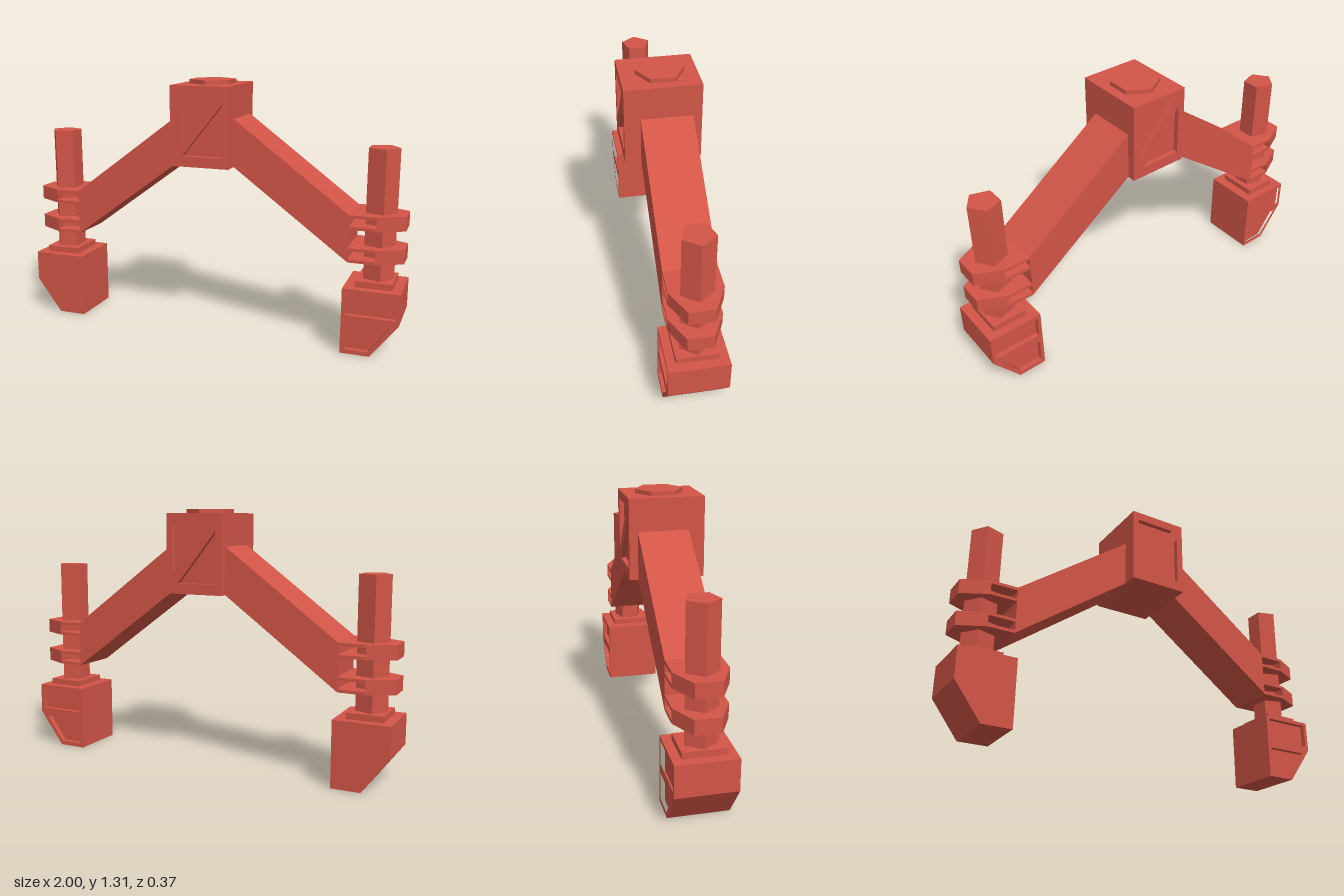
import * as THREE from 'three';

const red = new THREE.MeshStandardMaterial({ color: 0xd25547 });
red.name = 'red';

const ARM_Z = -0.018;   // centre line of arms, posts and feet
const RECESS = 0.025;   // depth of the sunken panels

const toVectors = (points, s = 1) => points.map(([x, y]) => new THREE.Vector2(x * s, y));

function makeMesh(name, geometry, x = 0, y = 0, z = 0) {
  const m = new THREE.Mesh(geometry, red);
  m.name = name;
  m.position.set(x, y, z);
  return m;
}

// Outline in x/y, extruded from z0 to z1, mirrored when s is -1
function slab(points, z0, z1, s = 1, holes = []) {
  const shape = new THREE.Shape(toVectors(points, s));
  for (const h of holes) shape.holes.push(new THREE.Path(toVectors(h, s)));
  return new THREE.ExtrudeGeometry(shape, { depth: z1 - z0, bevelEnabled: false }).translate(0, 0, z0);
}

// Outline in x/z, extruded from y0 up to y1
function plate(points, y0, y1, s) {
  return slab(points, 0, y1 - y0, s).rotateX(Math.PI / 2).translate(0, y1, 0);
}

// Solid block whose front and back faces carry sunken panels
function recessedBlock(name, outline, half, s, frontHoles, backHoles) {
  const g = new THREE.Group();
  g.name = name;
  const inner = half - RECESS;
  g.add(makeMesh(name + 'Core', slab(outline, -inner, inner, s)));
  g.add(makeMesh(name + 'FrontFrame', slab(outline, inner, half, s, frontHoles)));
  g.add(makeMesh(name + 'BackFrame', slab(outline, -half, -inner, s, backHoles)));
  return g;
}

function createSide(s) {
  const side = new THREE.Group();
  side.name = s > 0 ? 'leftSide' : 'rightSide';

  // Sloping arm
  const arm = [[0.14, 0.90], [0.735, 0.463], [0.735, 0.697], [0.14, 1.138]];
  side.add(makeMesh('arm', slab(arm, -0.126, 0.126, s), 0, 0, ARM_Z));

  // Two slotted clamps around the post
  const wings = [[0.735, 0.126], [0.867, 0.126], [0.867, -0.126], [0.735, -0.126]];
  const nose = [[0.867, 0.126], [0.997, 0.061], [0.997, -0.061], [0.867, -0.126]];
  for (const y of [0.462, 0.625]) {
    const clamp = new THREE.Group();
    clamp.name = 'clamp';
    clamp.position.set(0, y, ARM_Z);
    clamp.add(makeMesh('clampLowerJaw', plate(wings, 0, 0.015, s)));
    clamp.add(makeMesh('clampUpperJaw', plate(wings, 0.057, 0.072, s)));
    clamp.add(makeMesh('clampNose', plate(nose, 0, 0.072, s)));
    side.add(clamp);
  }

  // Five-sided post with a corner pointing outwards
  const pentagon = [];
  for (let i = 0; i < 5; i++) {
    const a = (i / 5) * Math.PI * 2;
    pentagon.push([0.866 + 0.08 * Math.cos(a), 0.08 * Math.sin(a)]);
  }
  side.add(makeMesh('post', plate(pentagon, 0.33, 1.012, s), 0, 0, ARM_Z));

  // Collar and foot
  side.add(makeMesh('collar', new THREE.BoxGeometry(0.182, 0.04, 0.204), s * 0.862, 0.345, ARM_Z));
  const outline = [[0.719, 0], [0.866, 0], [1, 0.178], [1, 0.334], [0.719, 0.334]];
  const panels = [
    [[0.738, 0.2], [0.981, 0.2], [0.981, 0.316], [0.738, 0.316]],
    [[0.738, 0.022], [0.857, 0.022], [0.957, 0.156], [0.738, 0.156]],
  ];
  const foot = recessedBlock('foot', outline, 0.145, s, panels, panels);
  foot.position.z = ARM_Z;
  side.add(foot);
  return side;
}

export function createModel() {
  const model = new THREE.Group();
  model.name = 'hoistFrame';

  // Central housing with two triangular panels, turned half round on the back
  const box = [[-0.153, 0.89], [0.153, 0.89], [0.153, 1.29], [-0.153, 1.29]];
  const triangles = [
    [[-0.121, 1.245], [-0.121, 0.983], [0.088, 1.245]],
    [[0.119, 0.943], [0.119, 1.203], [-0.09, 0.943]],
  ];
  const turned = triangles.map((t) => t.map(([x, y]) => [-x, y]));
  model.add(recessedBlock('housing', box, 0.187, 1, triangles, turned));

  // Hexagonal cap
  model.add(makeMesh('cap', new THREE.CylinderGeometry(0.12, 0.12, 0.03, 6).toNonIndexed(), 0, 1.296, -0.008));
  const cap = model.children[model.children.length - 1];
  cap.geometry.computeVertexNormals();

  for (const s of [1, -1]) model.add(createSide(s));
  return model;
}
